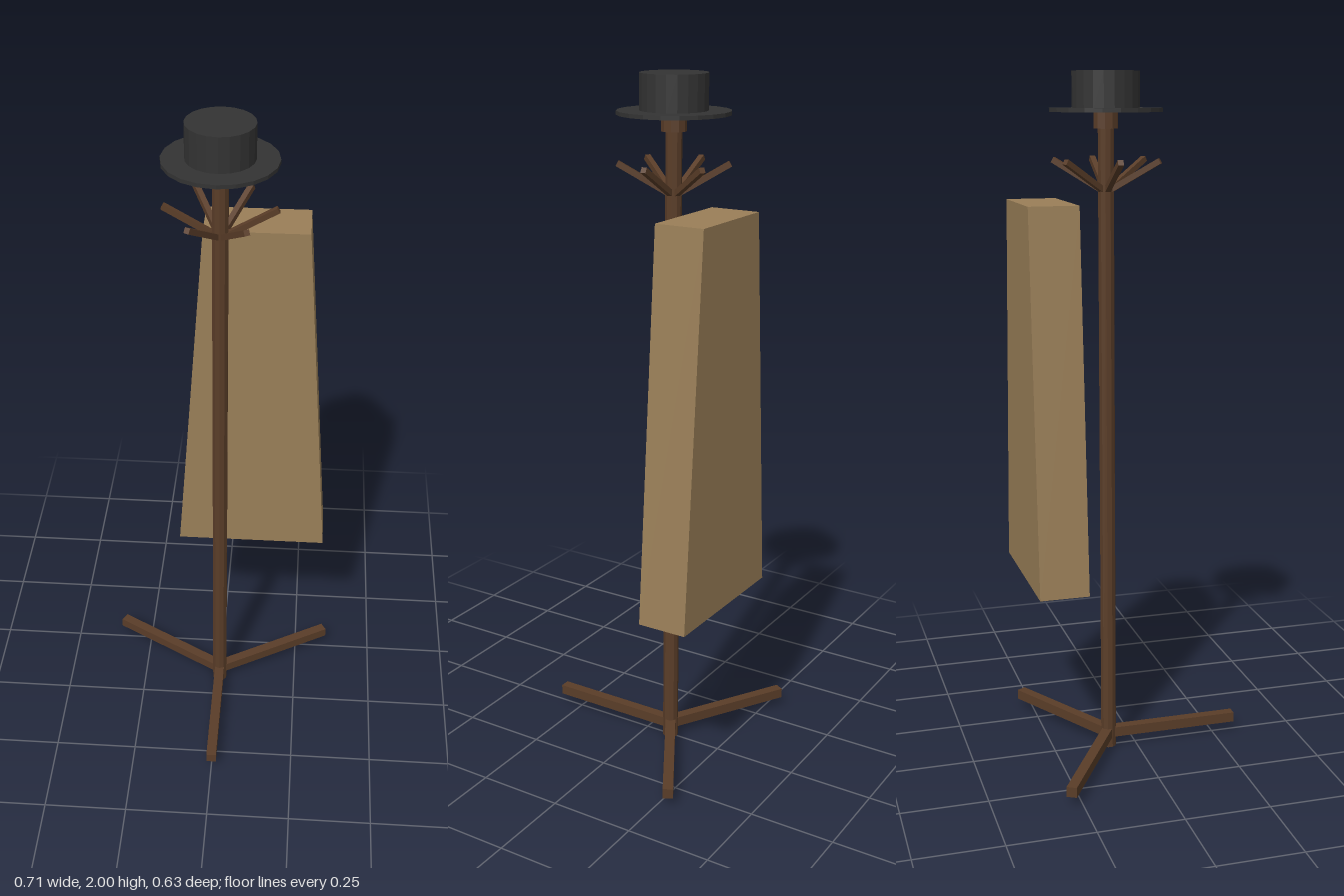
import * as THREE from 'three';

export function createModel() {
  const stand = new THREE.Group();
  stand.name = 'coatStand';
  const poleZ = -0.083;
  const paint = (color) => new THREE.MeshStandardMaterial({ color, flatShading: true });
  const wood = paint(0x5a3d28), felt = paint(0x333333), cloth = paint(0x9a7f58);

  const add = (name, geometry, material, parent) => {
    const mesh = new THREE.Mesh(geometry, material);
    mesh.name = name;
    parent.add(mesh);
    return mesh;
  };
  // upright cylinder on the pole axis, from y0 to y1
  const turned = (name, radius, y0, y1, sides, material) => {
    const mesh = add(name, new THREE.CylinderGeometry(radius, radius, y1 - y0, sides), material, stand);
    mesh.position.set(0, (y0 + y1) / 2, poleZ);
  };
  // square bar leaving the pole axis at a heading, tilted upwards
  const spoke = (name, length, size, y, heading, tilt) => {
    const arm = new THREE.Group();
    arm.name = name;
    arm.position.set(0, y, poleZ);
    arm.rotation.set(0, heading, tilt);
    add(name + 'Bar', new THREE.BoxGeometry(length, size, size), wood, arm).position.x = length / 2;
    stand.add(arm);
  };

  // pole and top knob
  turned('pole', 0.023, 0, 1.87, 10, wood);
  turned('knob', 0.035, 1.845, 1.9, 10, wood);

  // three feet, one pointing forward
  for (let i = 0; i < 3; i++) spoke('foot', 0.4, 0.03, 0.044, -Math.PI / 2 + (i * Math.PI * 2) / 3, 0);

  // six raised hooks
  for (let i = 0; i < 6; i++) spoke('hook', 0.178, 0.016, 1.67, (i * Math.PI) / 3, Math.PI / 6);

  // hat
  turned('hatBrim', 0.157, 1.89, 1.901, 20, felt);
  turned('hatCrown', 0.094, 1.9, 2, 20, felt);

  // hanging coat: a slab flaring towards the hem
  const outline = new THREE.Shape([
    new THREE.Vector2(-0.135, 0.535), new THREE.Vector2(0.323, 0.535),
    new THREE.Vector2(0.243, 1.64), new THREE.Vector2(-0.055, 1.64),
  ]);
  const coat = new THREE.ExtrudeGeometry(outline, { depth: 0.145, bevelEnabled: false });
  add('coat', coat, cloth, stand).position.z = -0.318;

  return stand;
}
